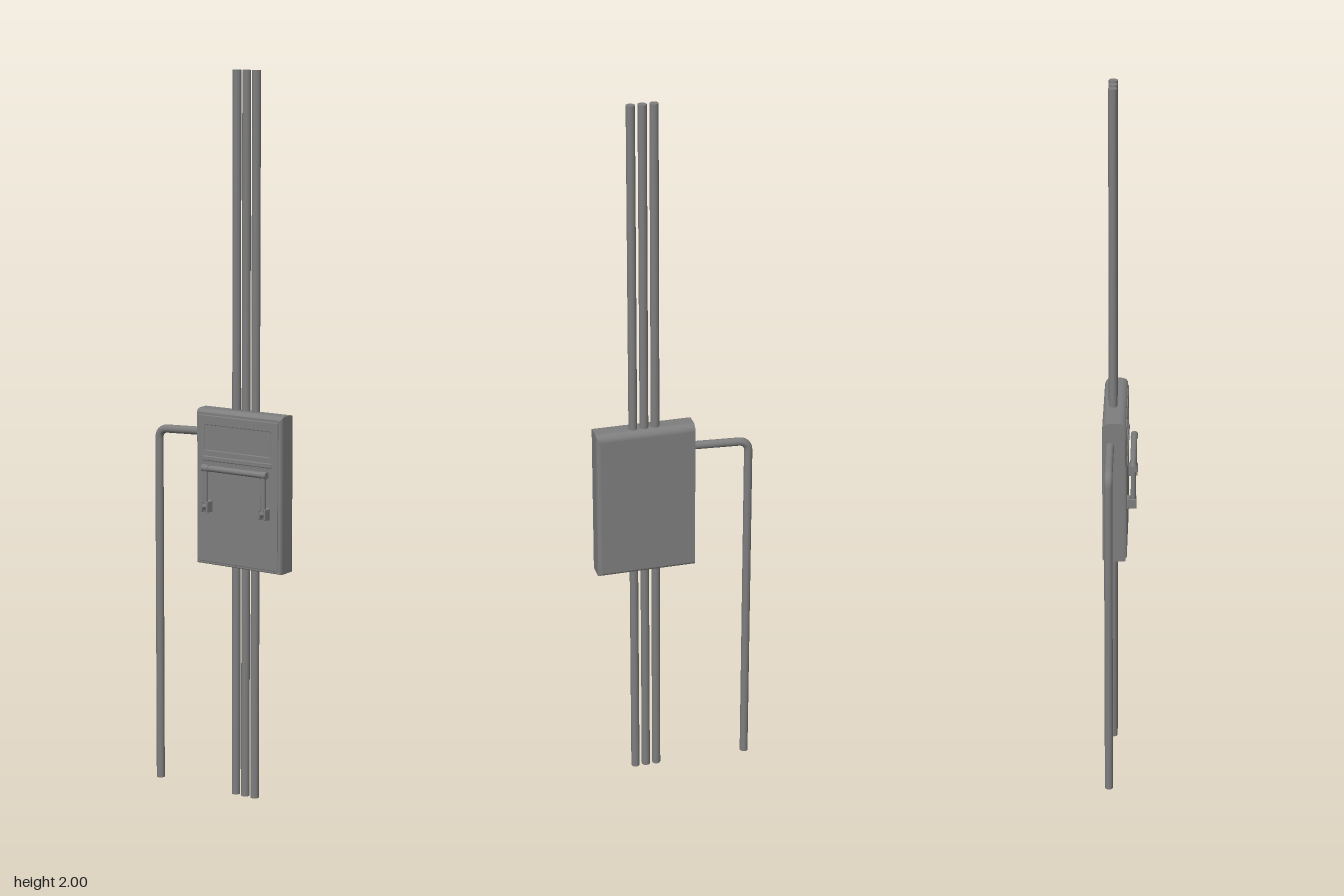
import * as THREE from 'three';
import { RoundedBoxGeometry } from 'three/addons/geometries/RoundedBoxGeometry.js';

const darkGrey = new THREE.MeshStandardMaterial({ color: 0x7e7e7e });

export function createModel() {
  const model = new THREE.Group();

  function add(name, geometry, x = 0, y = 0, z = 0, parent = model) {
    const mesh = new THREE.Mesh(geometry, darkGrey);
    mesh.name = name;
    mesh.position.set(x, y, z);
    parent.add(mesh);
    return mesh;
  }

  // Three full-height rods running through the box
  for (const x of [0.052, 0.083, 0.114]) {
    add('rod', new THREE.CylinderGeometry(0.0118, 0.0118, 2, 24), x, 1, -0.021);
  }

  // Box body: edges round off towards the back and front, the left-hand end in front only
  const L = -0.054, R = 0.221, B = 0.654, T = 1.086, BACK = -0.048, FRONT = 0.016;
  const body = new THREE.BoxGeometry(2, 2, 2, 1, 1, 32);
  const inset = (z, r) => {
    const d = Math.max(0, r - Math.min(z - BACK, FRONT + 0.003 - z));
    return r - Math.sqrt(Math.max(0, r * r - d * d));
  };
  const p = body.attributes.position;
  for (let i = 0; i < p.count; i++) {
    // Sections crowd towards both faces, where the edges curve
    const s = Math.sin(p.getZ(i) * Math.PI / 2);
    const z = (BACK + FRONT) / 2 + s * (FRONT - BACK) / 2;
    const x = p.getX(i) > 0 ? R - inset(z, 0.012) : L + (z > 0 ? inset(z, 0.008) : 0);
    const y = p.getY(i) > 0 ? T - inset(z, 0.02) : B + inset(z, 0.01);
    p.setXYZ(i, x, y, z);
  }
  body.computeVertexNormals();
  add('boxBody', body);

  // Front cover with a shallow rectangular window
  const rect = (Shape, x0, y0, x1, y1) => new Shape([
    new THREE.Vector2(x0, y0), new THREE.Vector2(x1, y0),
    new THREE.Vector2(x1, y1), new THREE.Vector2(x0, y1),
  ]);
  const cover = rect(THREE.Shape, -0.046, 0.664, 0.209, 1.068);
  cover.holes.push(rect(THREE.Path, -0.03, 0.972, 0.19, 1.045));
  add('frontCover', new THREE.ExtrudeGeometry(cover, {
    depth: 0.001, bevelThickness: 0.002, bevelSize: 0.002, bevelSegments: 2,
  }), 0, 0, 0.016);

  // Narrow ledge under the window
  add('ledge', new RoundedBoxGeometry(0.225, 0.014, 0.008, 2, 0.003), 0.08, 0.951, 0.018);

  // Handle: horizontal grip, two arms and their hinge brackets
  const handle = new THREE.Group();
  handle.name = 'handle';
  model.add(handle);
  const grip = add('grip', new THREE.CylinderGeometry(0.0085, 0.0085, 0.19, 20), 0.083, 0.927, 0.035, handle);
  grip.rotation.z = Math.PI / 2;
  for (const s of [-1, 1]) {
    const x = 0.083 + s * 0.094;
    const collar = add('gripCollar', new THREE.CylinderGeometry(0.01, 0.01, 0.02, 20), x, 0.927, 0.035, handle);
    collar.rotation.z = Math.PI / 2;
    add('arm', new THREE.CylinderGeometry(0.007, 0.007, 0.1, 16), x, 0.875, 0.036, handle);
    add('bracketBase', new RoundedBoxGeometry(0.024, 0.034, 0.008, 2, 0.003), x, 0.82, 0.022, handle);
    for (const e of [-1, 1]) {
      add('bracketCheek', new RoundedBoxGeometry(0.005, 0.03, 0.024, 2, 0.002), x + e * 0.009, 0.82, 0.033, handle);
    }
    const pin = add('hingePin', new THREE.CylinderGeometry(0.009, 0.009, 0.017, 20), x, 0.822, 0.035, handle);
    pin.rotation.z = Math.PI / 2;
  }

  // Side pipe: out of the box, round a bend and down to the ground
  const v = (x, y) => new THREE.Vector3(x, y, -0.027);
  const path = new THREE.CurvePath();
  path.add(new THREE.LineCurve3(v(-0.045, 1.016), v(-0.18, 1.01)));
  path.add(new THREE.QuadraticBezierCurve3(v(-0.18, 1.01), v(-0.21, 1.009), v(-0.21, 0.98)));
  path.add(new THREE.LineCurve3(v(-0.21, 0.98), v(-0.21, 0)));
  add('sidePipe', new THREE.TubeGeometry(path, 160, 0.0115, 20));
  const cap = add('pipeEnd', new THREE.CircleGeometry(0.0115, 20), -0.21, 0, -0.027);
  cap.rotation.x = Math.PI / 2;

  return model;
}
